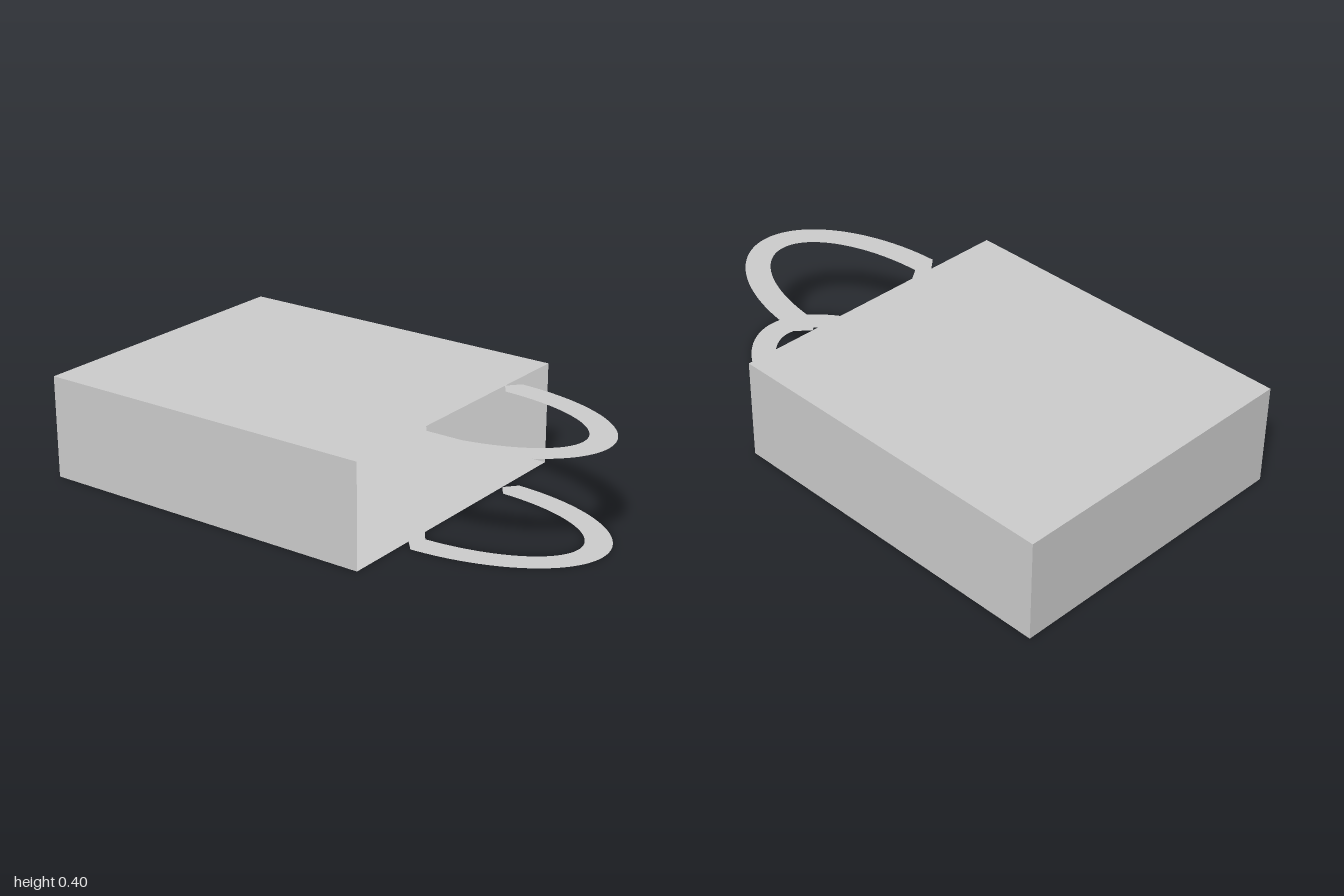
import * as THREE from 'three';

const W = 1.2, H = 0.4, BACK = -1, MOUTH = 0.39;
const DEPTH = MOUTH - BACK, MID = (MOUTH + BACK) / 2;

// Flat curved strap with slanted feet that join the mouth of the bag
function handleGeometry() {
  const a = 0.07;
  const shape = new THREE.Shape();
  shape.moveTo(0.4, MOUTH);
  shape.absellipse(0, MOUTH, 0.35, 0.61, a, Math.PI - a, false);
  shape.lineTo(-0.3, MOUTH);
  shape.lineTo(-0.2, MOUTH);
  shape.absellipse(0, MOUTH, 0.25, 0.51, Math.PI - a, a, true);
  shape.lineTo(0.3, MOUTH);
  return new THREE.ShapeGeometry(shape, 32).rotateX(Math.PI / 2);
}

export function createModel() {
  const bag = new THREE.Group();
  bag.name = 'shoppingBag';
  const paper = new THREE.MeshStandardMaterial({
    color: 0xcccccc, side: THREE.DoubleSide, flatShading: true,
  });

  const add = (name, geometry, x, y, z) => {
    const mesh = new THREE.Mesh(geometry, paper);
    mesh.name = name;
    mesh.position.set(x, y, z);
    bag.add(mesh);
  };

  // Bottom of the bag, closing the end opposite the mouth
  add('bagBottom', new THREE.PlaneGeometry(W, H).rotateY(Math.PI), 0, H / 2, BACK);

  // Two broad panels, each with its handle
  for (const [side, y, turn] of [['upper', H, -1], ['lower', 0, 1]]) {
    add(side + 'Panel', new THREE.PlaneGeometry(W, DEPTH).rotateX(turn * Math.PI / 2), 0, y, MID);
    add(side + 'Handle', handleGeometry(), 0, y, 0);
  }

  // Narrow side panels
  for (const [side, s] of [['left', 1], ['right', -1]]) {
    add(side + 'Panel', new THREE.PlaneGeometry(DEPTH, H).rotateY(s * Math.PI / 2), s * W / 2, H / 2, MID);
  }

  return bag;
}
